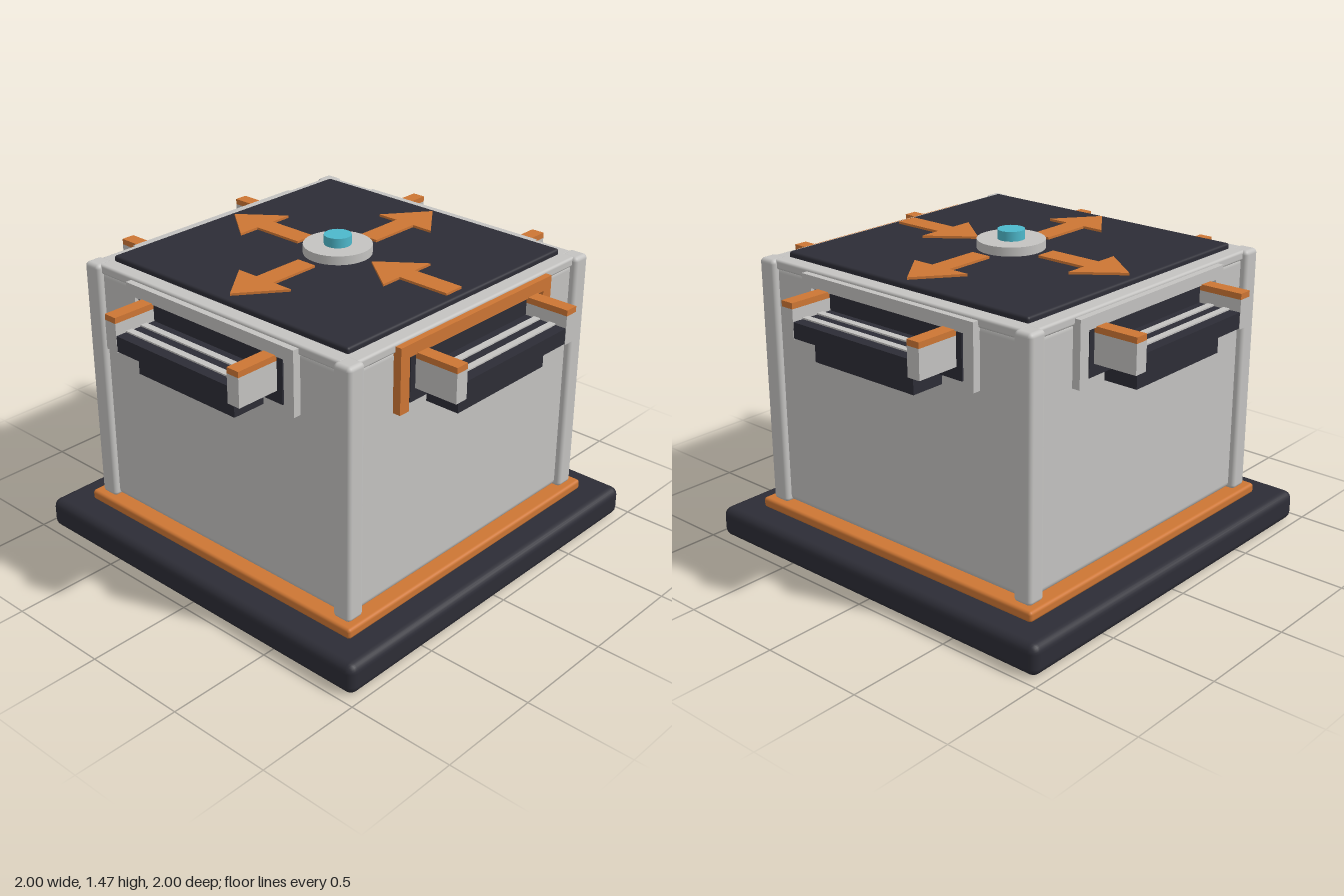
import * as THREE from 'three';
import { RoundedBoxGeometry } from 'three/addons/geometries/RoundedBoxGeometry.js';

const material = (name, color) => {
  const m = new THREE.MeshStandardMaterial({ color });
  m.name = name;
  return m;
};

export function createModel() {
  const charcoal = material('charcoal', 0x2d2d36);
  const grey = material('light grey', 0xc4c3c1);
  const orange = material('orange', 0xcd7634);
  const cyan = material('cyan', 0x4db8cb);

  const model = new THREE.Group();
  model.name = 'sortingUnit';

  const add = (parent, name, geometry, mat) => {
    const mesh = new THREE.Mesh(geometry, mat);
    mesh.name = name;
    parent.add(mesh);
    return mesh;
  };
  // Boxes are given by their extents: [min, max] on each axis
  const box = (parent, name, mat, [x0, x1], [y0, y1], [z0, z1], radius = 0) => {
    const size = [x1 - x0, y1 - y0, z1 - z0];
    const geometry = radius
      ? new RoundedBoxGeometry(...size, 3, radius)
      : new THREE.BoxGeometry(...size);
    geometry.translate((x0 + x1) / 2, (y0 + y1) / 2, (z0 + z1) / 2);
    return add(parent, name, geometry, mat);
  };
  const square = (name, mat, half, y, radius) =>
    box(model, name, mat, [-half, half], y, [-half, half], radius);

  // Stacked housing
  square('base', charcoal, 0.965, [0, 0.145], 0.04);
  square('baseTrim', orange, 0.825, [0.14, 0.19], 0.015);
  square('body', grey, 0.76, [0.185, 1.335], 0.035);
  square('topPanel', charcoal, 0.697, [1.33, 1.385], 0.012);

  // Flat arrow pointing away from the hub, or towards it
  const arrowGeometry = (inward) => {
    const points = [[0.2, -0.05], [0.455, -0.05], [0.455, -0.155], [0.657, 0],
      [0.455, 0.155], [0.455, 0.05], [0.2, 0.05]];
    const shape = new THREE.Shape(points.map(([along, across]) =>
      new THREE.Vector2(across, -(inward ? 0.857 - along : along))));
    return new THREE.ExtrudeGeometry(shape, { depth: 0.012, bevelEnabled: false })
      .rotateX(-Math.PI / 2).translate(0, 1.384, 0);
  };

  // One side, built facing +z and repeated around the body
  const sides = ['front', 'right', 'back', 'left'];
  sides.forEach((label, i) => {
    const side = new THREE.Group();
    side.name = label + 'Side';
    side.rotation.y = i * Math.PI / 2;
    model.add(side);
    const isInlet = i === 1;
    const frameMat = isInlet ? orange : grey;

    box(side, 'cornerPost', grey, [0.697, 0.79], [0.185, 1.36], [0.697, 0.79], 0.02);
    box(side, 'topRail', grey, [-0.72, 0.72], [1.315, 1.36], [0.68, 0.768], 0.012);
    add(side, 'directionArrow', arrowGeometry(isInlet), orange);

    // Port frame and dark opening
    box(side, 'frameLintel', frameMat, [-0.5, 0.5], [1.29, 1.347], [0.74, 0.798]);
    box(side, 'portOpening', charcoal, [-0.43, 0.43], [1.08, 1.29], [0.74, 0.79]);

    // Conveyor stub with two rollers and a drive below
    box(side, 'conveyorBed', charcoal, [-0.335, 0.335], [1.14, 1.212], [0.78, 0.998]);
    box(side, 'conveyorDrive', charcoal, [-0.29, 0.29], [1.025, 1.14], [0.75, 0.925]);
    for (const z of [0.85, 0.93]) {
      box(side, 'roller', grey, [-0.335, 0.335], [1.21, 1.219], [z - 0.016, z + 0.016]);
    }
    for (const s of [-1, 1]) {
      const span = (a, b) => (s > 0 ? [a, b] : [-b, -a]);
      box(side, 'frameLeg', frameMat, span(0.445, 0.5), [1.05, 1.29], [0.74, 0.798]);
      box(side, 'conveyorRail', grey, span(0.335, 0.4), [1.135, 1.268], [0.78, 1]);
      box(side, 'railCap', orange, span(0.335, 0.4), [1.268, 1.295], [0.78, 1]);
    }
  });

  // Central beacon
  add(model, 'hub', new THREE.CylinderGeometry(0.155, 0.155, 0.042, 32)
    .translate(0, 1.405, 0), grey);
  add(model, 'beacon', new THREE.CylinderGeometry(0.062, 0.062, 0.046, 24)
    .translate(0, 1.447, 0), cyan);

  return model;
}
